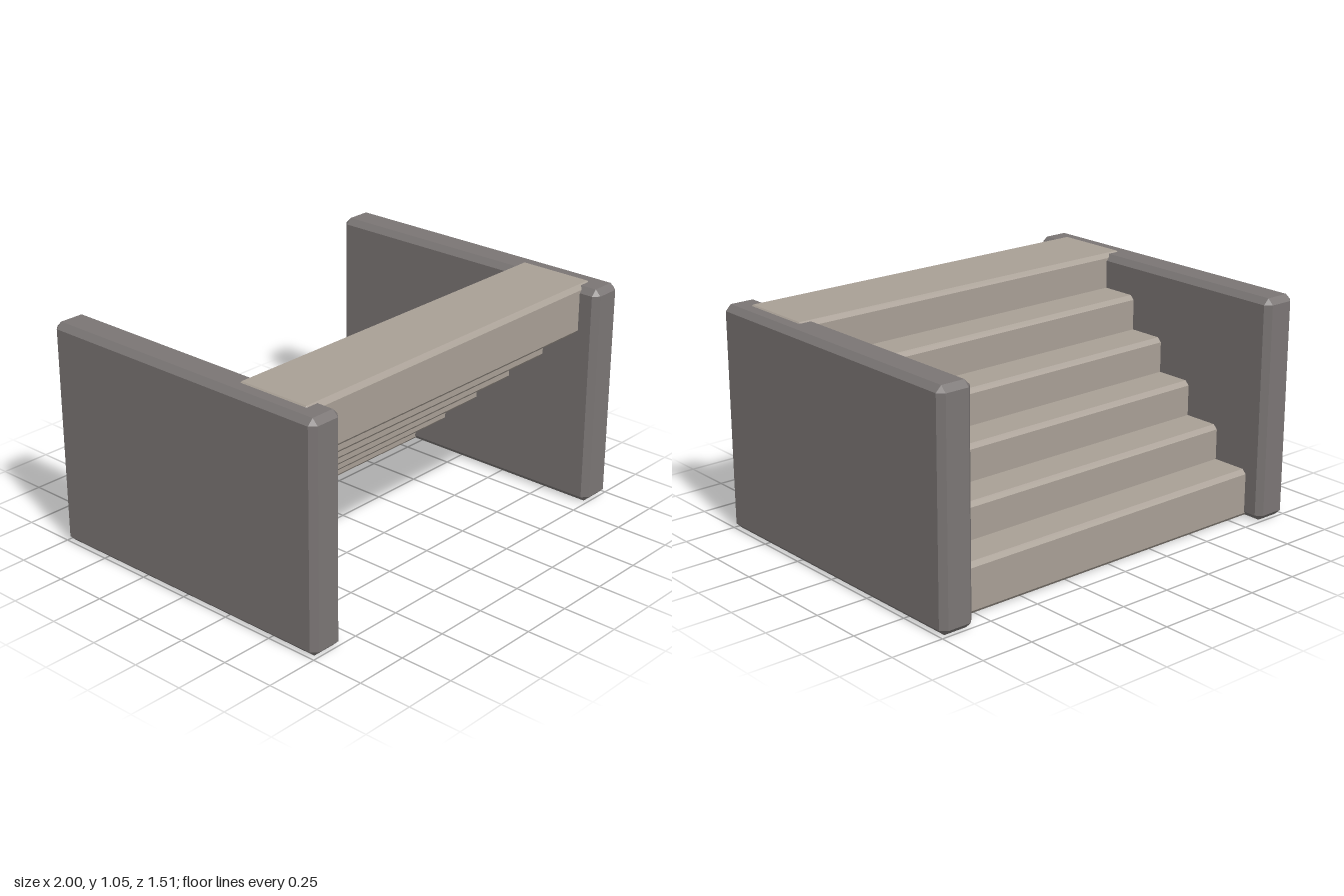
import * as THREE from 'three';
import { ConvexGeometry } from 'three/addons/geometries/ConvexGeometry.js';

// Box with every edge chamfered by c; each corner becomes a small triangle
function chamferBox(w, h, d, c) {
  const points = [];
  for (const x of [-w / 2, w / 2])
    for (const y of [-h / 2, h / 2])
      for (const z of [-d / 2, d / 2]) {
        const ix = x - Math.sign(x) * c, iy = y - Math.sign(y) * c, iz = z - Math.sign(z) * c;
        points.push(
          new THREE.Vector3(x, iy, iz),
          new THREE.Vector3(ix, y, iz),
          new THREE.Vector3(ix, iy, z));
      }
  return new ConvexGeometry(points);
}

export function createModel() {
  const model = new THREE.Group();
  model.name = 'staircase';
  const wallMaterial = new THREE.MeshStandardMaterial({ color: 0x7a7574 });
  const stepMaterial = new THREE.MeshStandardMaterial({ color: 0xa89f95 });

  // Side walls
  const wallW = 0.167, wallH = 1.046;
  const wallGeometry = chamferBox(wallW, wallH, 1.51, 0.027);
  for (const side of [1, -1]) {
    const wall = new THREE.Mesh(wallGeometry, wallMaterial);
    wall.name = side > 0 ? 'leftWall' : 'rightWall';
    wall.position.set(side * (1 - wallW / 2), wallH / 2, 0);
    model.add(wall);
  }

  // Overlapping steps rising from back to front, ends set into the walls
  const count = 6, stepH = 0.23, stepD = 0.39, rise = 0.1643, run = 0.187;
  const stepGeometry = chamferBox(1.87, stepH, stepD, 0.02);
  for (let i = 0; i < count; i++) {
    const step = new THREE.Mesh(stepGeometry, stepMaterial);
    step.name = `step${i + 1}`;
    step.position.set(0, stepH / 2 + i * rise, (i - (count - 1) / 2) * run);
    model.add(step);
  }
  return model;
}
